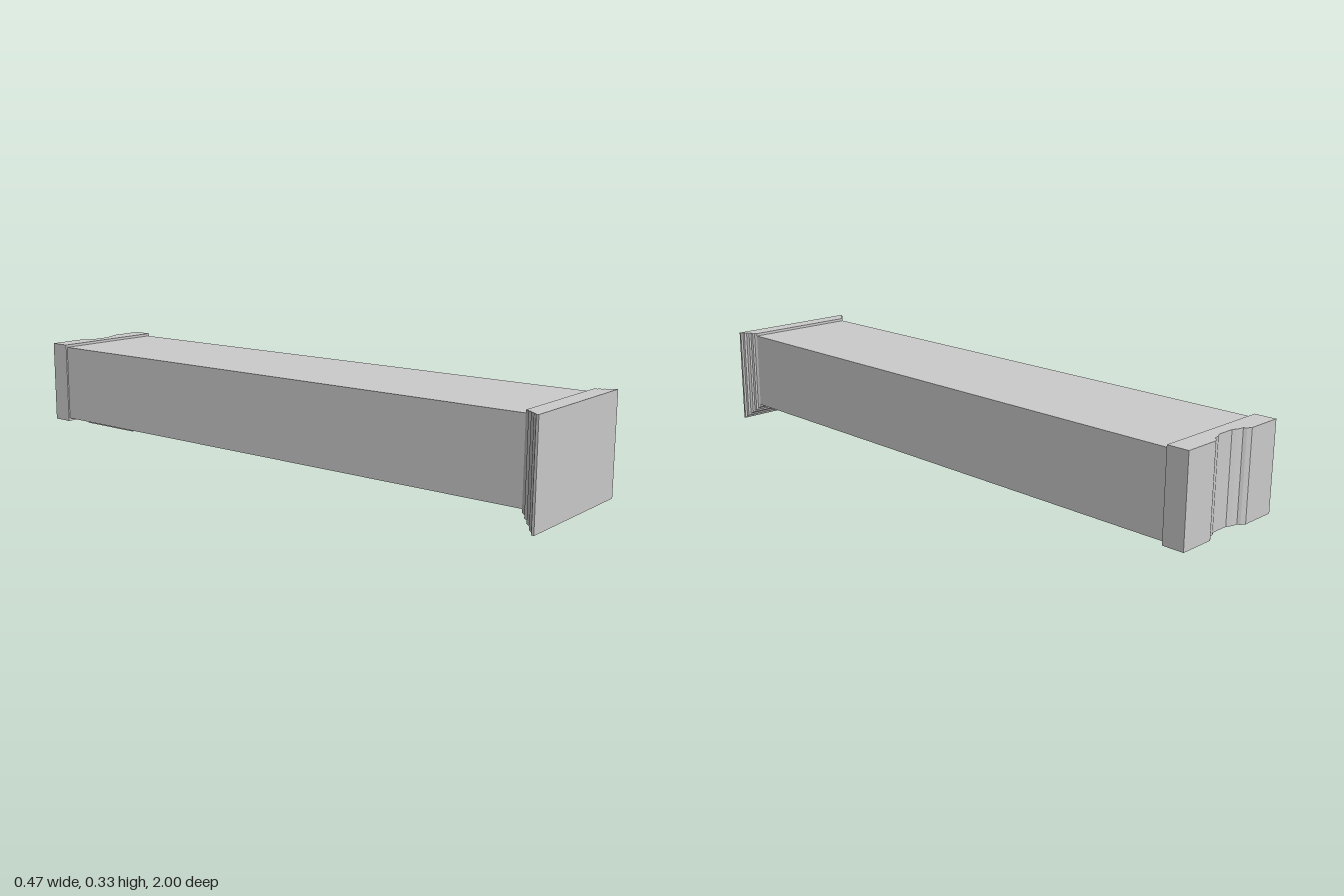
import * as THREE from 'three';

const material = new THREE.MeshStandardMaterial({ color: 0xcccccc, flatShading: true });

// Lofts rectangles [x0, x1, y0, y1, z], listed with z rising, into a closed solid
function loft(rings) {
  const pos = [], index = [];
  rings.forEach(([x0, x1, y0, y1, z]) =>
    pos.push(x0, y0, z, x1, y0, z, x1, y1, z, x0, y1, z));
  for (let i = 0; i < rings.length - 1; i++) {
    for (let j = 0; j < 4; j++) {
      const a = i * 4 + j, b = i * 4 + (j + 1) % 4;
      index.push(a, b, b + 4, a, b + 4, a + 4);
    }
  }
  const e = (rings.length - 1) * 4;
  index.push(0, 2, 1, 0, 3, 2, e, e + 1, e + 2, e, e + 2, e + 3);
  const g = new THREE.BufferGeometry();
  g.setAttribute('position', new THREE.Float32BufferAttribute(pos, 3));
  g.setIndex(index);
  const flat = g.toNonIndexed();
  flat.computeVertexNormals();
  return flat;
}

// Extrudes an outline drawn in x and z between two heights
function slab(shape, y0, y1) {
  return new THREE.ExtrudeGeometry(shape, { depth: y1 - y0, bevelEnabled: false })
    .rotateX(Math.PI / 2).translate(0, y1, 0);
}

function outline(points, Type = THREE.Shape) {
  return new Type(points.map(([x, z]) => new THREE.Vector2(x, z)));
}

const rect = (w, z0, z1) => [[-w, z0], [w, z0], [w, z1], [-w, z1]];

export function createModel() {
  const group = new THREE.Group();
  const add = (name, geometry) => {
    const mesh = new THREE.Mesh(geometry, material);
    mesh.name = name;
    group.add(mesh);
    return mesh;
  };
  const box = (name, x0, x1, y0, y1, z0, z1) => add(name,
    new THREE.BoxGeometry(x1 - x0, y1 - y0, z1 - z0)
      .translate((x0 + x1) / 2, (y0 + y1) / 2, (z0 + z1) / 2));

  // Carcass of the bookcase, lying on its open front
  box('leftSide', 0.187, 0.2, 0.055, 0.318, -0.94, 0.95);
  box('rightSide', -0.2, -0.187, 0.055, 0.318, -0.94, 0.95);
  box('backPanel', -0.187, 0.187, 0.303, 0.318, -0.94, 0.95);

  // Face frame around the open compartments
  const frame = outline(rect(0.187, -0.94, 0.95));
  frame.holes.push(outline(rect(0.165, -0.57, 0.85), THREE.Path));
  add('faceFrame', slab(frame, 0.055, 0.075));

  // Shelves, with a thicker fixed one near the top
  for (const z of [-0.57, -0.285, -0.005, 0.275]) {
    box('shelf', -0.187, 0.187, 0.075, 0.303, z - 0.009, z + 0.009);
  }
  box('fixedShelf', -0.187, 0.187, 0.07, 0.303, 0.55, 0.59);

  // Raised strip under the crown
  box('friezeStrip', -0.155, 0.155, 0.045, 0.057, 0.877, 0.925);

  // Crown moulding, flaring on the front and both sides
  const crown = [
    [0, 0.942], [0.004, 0.952], [0.01, 0.955], [0.012, 0.964], [0.018, 0.967],
    [0.022, 0.977], [0.029, 0.981], [0.031, 0.988], [0.037, 0.992], [0.037, 1],
  ];
  add('crown', loft(crown.map(([o, z]) =>
    [-0.2 - o, 0.2 + o, 0.045 * (1 - o / 0.037), 0.327, z])));

  // Plinth with a scalloped cut through its foot
  const half = [[0.03, -0.972], [0.045, -0.98], [0.066, -0.984], [0.072, -0.992], [0.085, -1]];
  const mirrored = half.map(([x, z]) => [-x, z]).reverse();
  add('plinth', slab(outline([
    [-0.205, -1], ...mirrored, ...half, [0.205, -1], [0.205, -0.93], [-0.205, -0.93],
  ]), 0.045, 0.327));

  // Cupboard door with a sunk border and raised centre field
  const door = [[0, -0.057], [0, -0.04], [0.036, -0.04], [0.04, -0.049], [0.066, -0.049], [0.07, -0.043]];
  add('door', loft(door.map(([i, z]) =>
    [-0.163 + i, 0.163 - i, -0.872 + i, -0.633 - i, z])).rotateX(Math.PI / 2));

  // Door knob
  const knob = [[0.0001, 0], [0.009, 0], [0.006, 0.006], [0.016, 0.01], [0.015, 0.014], [0.0001, 0.016]];
  add('knob', new THREE.LatheGeometry(knob.map(([r, y]) => new THREE.Vector2(r, y)), 12)
    .rotateX(Math.PI).translate(0, 0.041, -0.665));

  return group;
}
